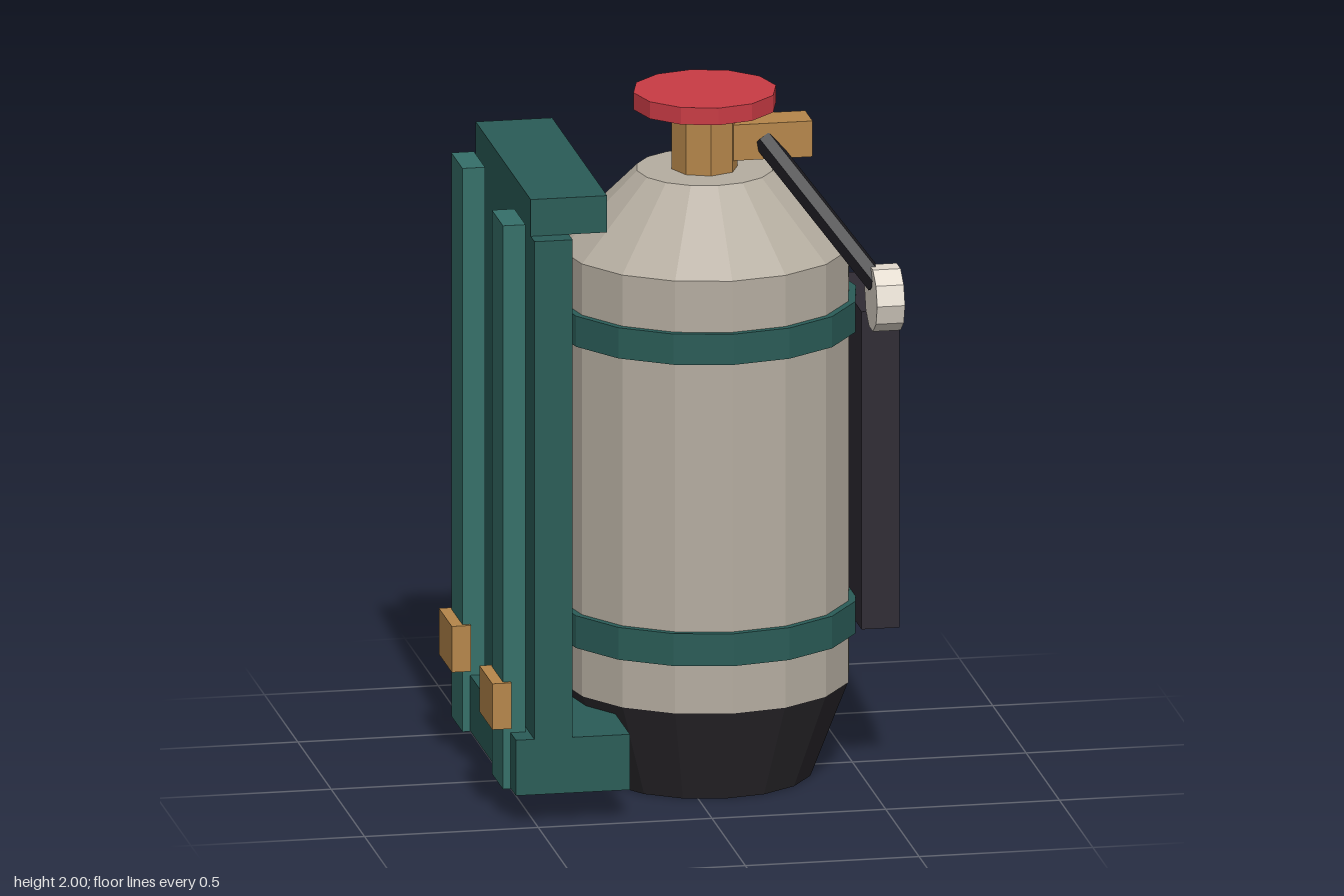
import * as THREE from 'three';

const mat = (color) => new THREE.MeshStandardMaterial({ color, flatShading: true });
const MAT = {
  steel: mat(0xb5ada0), teal: mat(0x2a5c57), rail: mat(0x356f69), black: mat(0x29272b),
  brass: mat(0xb5864a), red: mat(0xc83b44), frame: mat(0x2f2b34), screen: mat(0x4a8a83),
  rubber: mat(0x1b1a1f), pale: mat(0xe2dace),
};
const AXIS_X = 0.075; // the tank stands slightly off centre

export function createModel() {
  const model = new THREE.Group();

  const add = (name, geometry, material) => {
    const mesh = new THREE.Mesh(geometry, material);
    mesh.name = name;
    model.add(mesh);
    return mesh;
  };
  // Box from its min and max along each axis
  const box = (name, material, [x0, x1], [y0, y1], [z0, z1]) =>
    add(name, new THREE.BoxGeometry(x1 - x0, y1 - y0, z1 - z0), material)
      .position.set((x0 + x1) / 2, (y0 + y1) / 2, (z0 + z1) / 2);
  // Upright faceted drum on the tank axis
  const drum = (name, material, rTop, rBottom, y0, y1, sides = 16) =>
    add(name, new THREE.CylinderGeometry(rTop, rBottom, y1 - y0, sides), material)
      .position.set(AXIS_X, (y0 + y1) / 2, 0);

  // Tank
  drum('tankBase', MAT.black, 0.413, 0.305, 0, 0.28);
  drum('tankBody', MAT.steel, 0.415, 0.415, 0.28, 1.55);
  drum('tankShoulder', MAT.steel, 0.195, 0.415, 1.55, 1.77);
  drum('lowerBand', MAT.teal, 0.435, 0.435, 0.425, 0.52);
  drum('upperBand', MAT.teal, 0.435, 0.435, 1.31, 1.40);

  // Valve
  drum('valveNeck', MAT.brass, 0.095, 0.095, 1.77, 1.935, 8);
  drum('valveKnob', MAT.red, 0.205, 0.205, 1.95, 2.0, 12);
  box('valveOutlet', MAT.brass, [0.14, 0.375], [1.80, 1.905], [-0.055, 0.055]);

  // Hose and nozzle
  const from = new THREE.Vector3(0.235, 1.855, 0.035);
  const to = new THREE.Vector3(0.52, 1.48, 0.275);
  const dir = to.clone().sub(from);
  const hose = add('hose', new THREE.CylinderGeometry(0.033, 0.033, dir.length(), 6), MAT.rubber);
  hose.position.copy(from).add(to).multiplyScalar(0.5);
  hose.quaternion.setFromUnitVectors(new THREE.Vector3(0, 1, 0), dir.normalize());
  const nozzle = add('nozzle', new THREE.CylinderGeometry(0.095, 0.095, 0.08, 10), MAT.pale);
  nozzle.rotation.z = Math.PI / 2;
  nozzle.position.set(0.54, 1.44, 0.278);

  // Side panel
  box('panelFrame', MAT.frame, [0.487, 0.597], [0.447, 1.38], [-0.205, 0.205]);
  box('panelScreen', MAT.screen, [0.57, 0.61], [0.53, 1.3], [-0.137, 0.137]);

  // Wall bracket
  box('backPlate', MAT.teal, [-0.505, -0.395], [0.115, 1.712], [-0.469, 0.469]);
  box('topBracket', MAT.teal, [-0.505, -0.285], [1.712, 1.82], [-0.412, 0.412]);
  box('bottomShelf', MAT.teal, [-0.558, -0.23], [0.087, 0.25], [-0.467, 0.467]);

  // Mounting rails with clips on both sides
  for (const [side, s] of [['left', 1], ['right', -1]].map(([n, v]) => [n === 'left' ? 'front' : 'back', v])) {
    const span = (a, b) => (s > 0 ? [a, b] : [-b, -a]);
    box(`${side}Rail`, MAT.rail, [-0.58, -0.515], [0.085, 1.74], span(0.22, 0.387));
    box(`${side}Clip`, MAT.brass, [-0.613, -0.558], [0.265, 0.40], span(0.207, 0.40));
  }

  return model;
}
